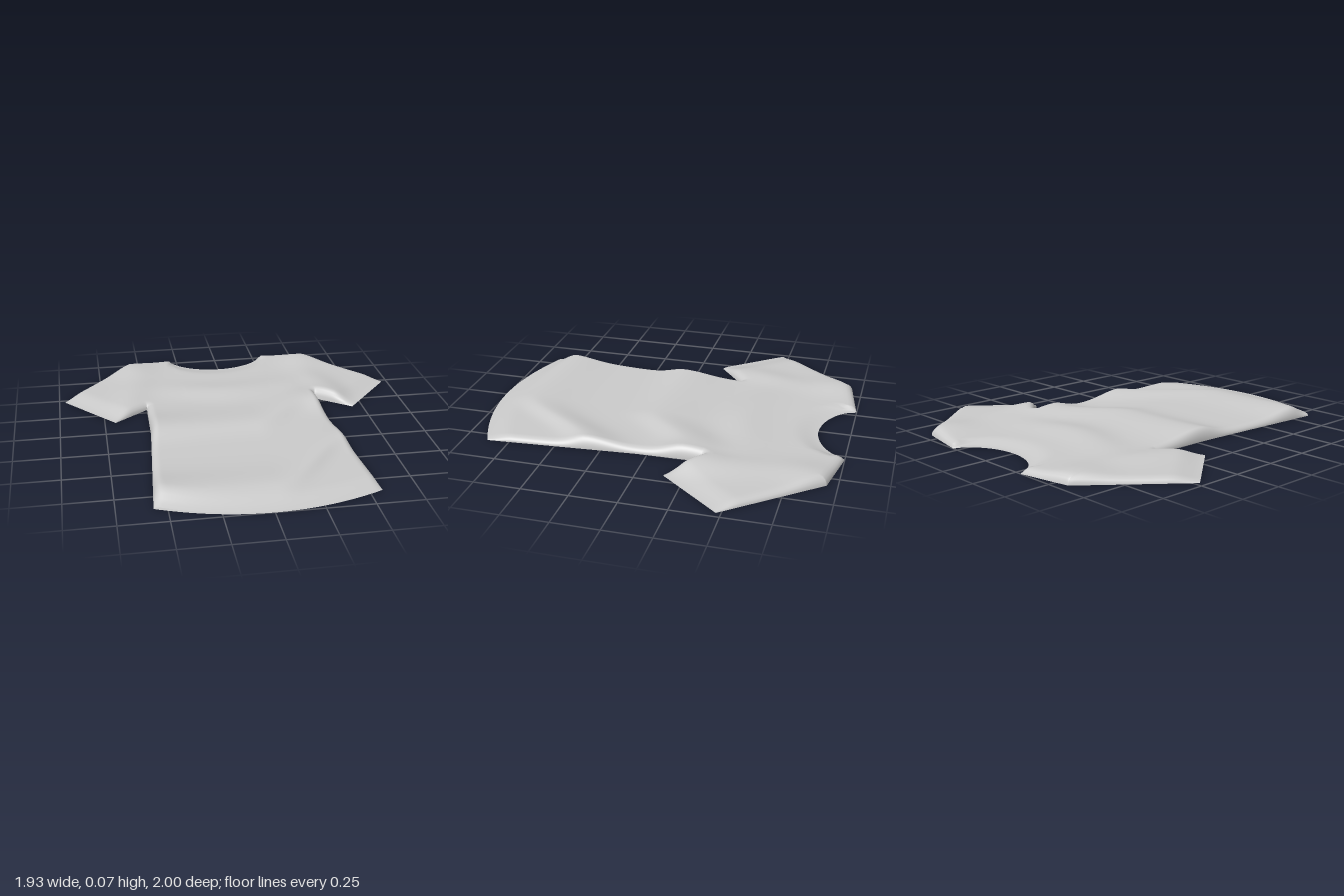
import * as THREE from 'three';
import { mergeGeometries, mergeVertices } from 'three/addons/utils/BufferGeometryUtils.js';

const { lerp, clamp, smoothstep } = THREE.MathUtils;

// Half outline of the shirt as seen from above, [x, z]
const NECK = [0.287, -1], SHOULDER = [0.575, -0.945], ARMPIT = [0.5, -0.29];
const CUFF_TOP = [0.967, -0.475], CUFF_LOW = [0.69, -0.14];
const WAIST = [0.507, 0.05], HEM_CORNER = [0.568, 0.87];
const SEAMS = [
  [NECK, SHOULDER], [SHOULDER, CUFF_TOP], [CUFF_LOW, ARMPIT], [ARMPIT, WAIST], [WAIST, HEM_CORNER],
];

const hemZ = (x) => 1 - 0.13 * (x / HEM_CORNER[0]) ** 2;
function collarZ(x) {
  const a = Math.abs(x);
  if (a < NECK[0] - 1e-4) return -1 + 0.175 * (1 - (a / NECK[0]) ** 2) ** 0.62;
  return lerp(NECK[1], SHOULDER[1], (a - NECK[0]) / (SHOULDER[0] - NECK[0]));
}
function sideX(z) {
  const pts = [SHOULDER, ARMPIT, WAIST, HEM_CORNER];
  const k = z <= ARMPIT[1] ? 0 : z <= WAIST[1] ? 1 : 2;
  return lerp(pts[k][0], pts[k + 1][0], (z - pts[k][1]) / (pts[k + 1][1] - pts[k][1]));
}

function segmentDistance(x, z, [a, b]) {
  const dx = b[0] - a[0], dz = b[1] - a[1];
  const t = clamp(((x - a[0]) * dx + (z - a[1]) * dz) / (dx * dx + dz * dz), 0, 1);
  return Math.hypot(x - a[0] - t * dx, z - a[1] - t * dz);
}

// A soft fold across the cloth, steeper toward the hem
function fold(z, centre, back, front) {
  const d = z - centre;
  return Math.exp(-((d / (d < 0 ? back : front)) ** 2));
}
function folds(x, z) {
  const edge = 0.55 + 0.45 * Math.min(1, (x / 0.5) ** 2);
  const body = 1 - smoothstep(Math.abs(x), 0.5, 0.75);
  const waist = fold(z, 0.05 - 0.24 * smoothstep(x, 0.08, 0.42), 0.2, 0.12);
  const hem = fold(z, 0.78 - 0.46 * smoothstep(x, 0.05, 0.55), 0.18, 0.1);
  const chest = fold(z, -0.46 + 0.05 * Math.cos(x * 6), 0.13, 0.11) * Math.exp(-((x / 0.4) ** 2));
  const shoulder = fold(z, -0.86, 0.15, 0.15) * Math.exp(-(((Math.abs(x) - 0.55) / 0.13) ** 2));
  const sleeve = Math.exp(-(((Math.abs(x) - 0.58 - 0.25 * (z + 0.4)) / 0.1) ** 2)) * fold(z, -0.4, 0.3, 0.2);
  return body * edge * (0.042 * waist + 0.036 * hem) + 0.02 * chest + 0.02 * shoulder + 0.014 * sleeve;
}

// Heights of the two cloth layers; they meet along the sewn seams
function layerHeight(x, z, isFront) {
  const ax = Math.abs(x);
  const seam = Math.min(...SEAMS.map((s) => segmentDistance(ax, z, s)));
  const open = Math.min(
    hemZ(x) - z,
    segmentDistance(ax, z, [CUFF_TOP, CUFF_LOW]),
    ax < 0.3 ? z - collarZ(x) : 1,
  );
  const round = Math.sqrt(1 - (1 - Math.min(seam / 0.045, 1)) ** 2);
  const droop = lerp(0.3, 1, smoothstep(open, -0.01, 0.14));
  const f = folds(x, z);
  const inner = smoothstep(seam, 0, 0.16) * smoothstep(open, -0.01, 0.16);
  const back = 0.4 * f * inner;
  return isFront ? back + (0.03 + f - 0.4 * f * inner) * droop * round : back;
}

// Rows are shared by the body and sleeves, closer together near seams
const SLEEVE_ROWS = 24, LOWER_ROWS = 44, BODY_COLS = 96, SLEEVE_COLS = 24;
const armpitV = (ARMPIT[1] - SHOULDER[1]) / (HEM_CORNER[1] - SHOULDER[1]);
const ease = (t) => (1 - Math.cos(Math.PI * t)) / 2;

function bodyPoint(i, j) {
  const v = i <= SLEEVE_ROWS
    ? armpitV * ease(i / SLEEVE_ROWS)
    : lerp(armpitV, 1, (i - SLEEVE_ROWS) / LOWER_ROWS);
  const u = Math.sin((j / BODY_COLS - 0.5) * Math.PI);
  const x = u * sideX(lerp(SHOULDER[1], HEM_CORNER[1], v));
  return [x, lerp(collarZ(u * SHOULDER[0]), hemZ(u * HEM_CORNER[0]), v)];
}
function sleevePoint(i, j, side) {
  const v = ease(i / SLEEVE_ROWS);
  const s = side > 0 ? j / SLEEVE_COLS : 1 - j / SLEEVE_COLS;
  const at = (k) => lerp(lerp(SHOULDER[k], ARMPIT[k], v), lerp(CUFF_TOP[k], CUFF_LOW[k], v), s);
  return [side * at(0), at(1)];
}

function patch(rows, cols, point, isFront) {
  const positions = [], index = [];
  for (let i = 0; i <= rows; i++) {
    for (let j = 0; j <= cols; j++) {
      const [x, z] = point(i, j);
      positions.push(x, layerHeight(x, z, isFront), z);
      if (i === rows || j === cols) continue;
      const a = i * (cols + 1) + j, b = a + cols + 1;
      if (isFront) index.push(a, b, a + 1, b, b + 1, a + 1);
      else index.push(a, a + 1, b, b, a + 1, b + 1);
    }
  }
  const geometry = new THREE.BufferGeometry();
  geometry.setAttribute('position', new THREE.Float32BufferAttribute(positions, 3));
  geometry.setIndex(index);
  return geometry;
}

// One whole layer of cloth: body with both sleeves, welded together
function panel(name, isFront, material) {
  const parts = [patch(SLEEVE_ROWS + LOWER_ROWS, BODY_COLS, bodyPoint, isFront)];
  for (const side of [-1, 1]) {
    parts.push(patch(SLEEVE_ROWS, SLEEVE_COLS, (i, j) => sleevePoint(i, j, side), isFront));
  }
  const geometry = mergeVertices(mergeGeometries(parts), 1e-4);
  geometry.computeVertexNormals();
  const mesh = new THREE.Mesh(geometry, material);
  mesh.name = name;
  return mesh;
}

export function createModel() {
  const shirt = new THREE.Group();
  shirt.name = 'shirt';
  const cloth = new THREE.MeshStandardMaterial({ color: 0xcccccc, side: THREE.DoubleSide });
  shirt.add(panel('frontPanel', true, cloth), panel('backPanel', false, cloth));
  return shirt;
}
